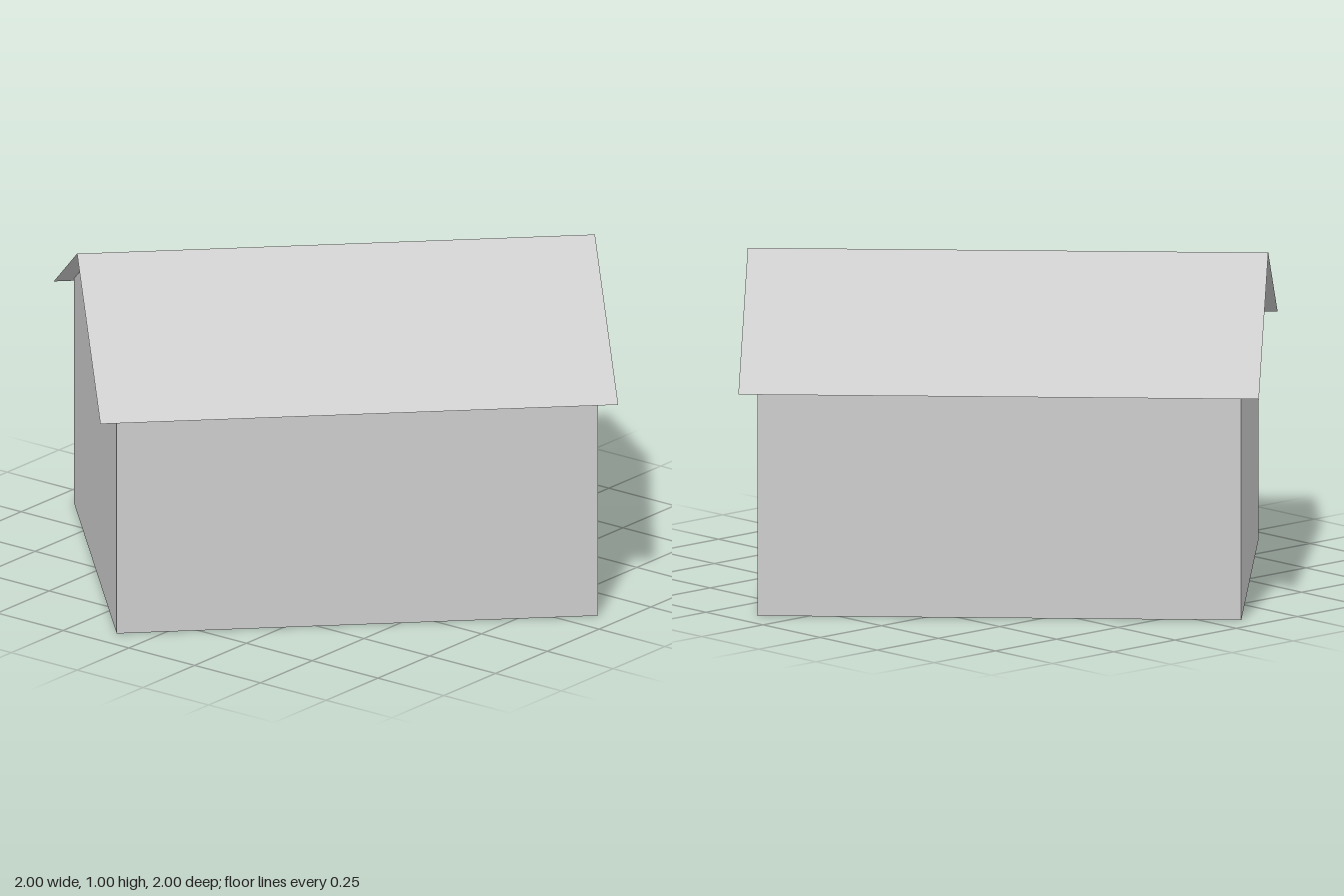
import * as THREE from 'three';

export function createModel() {
  const house = new THREE.Group();
  house.name = 'house';
  const grey = new THREE.MeshStandardMaterial({ color: 0xcccccc, side: THREE.DoubleSide });
  grey.name = 'plain grey';
  grey.flatShading = true;

  const ridgeY = 1, eaveY = 0.686;
  const roofL = 0.778, roofW = 0.636;   // half length and half width of the roof
  const wallL = 0.723, wallW = 0.582;   // half length and half width of the walls
  const drop = ridgeY - eaveY;
  const wallY = ridgeY - drop * wallW / roofW; // where the walls meet the slopes

  const add = (name, geometry, x, y, z) => {
    const mesh = new THREE.Mesh(geometry, grey);
    mesh.name = name;
    mesh.position.set(x, y, z);
    house.add(mesh);
  };

  // Gable end outline
  const gable = new THREE.Shape([
    new THREE.Vector2(-wallW, 0),
    new THREE.Vector2(wallW, 0),
    new THREE.Vector2(wallW, wallY),
    new THREE.Vector2(0, ridgeY),
    new THREE.Vector2(-wallW, wallY),
  ]);

  for (const s of [1, -1]) {
    const side = s > 0 ? 'Left' : 'Right';

    // Gable wall at each end
    add('gableWall' + side, new THREE.ShapeGeometry(gable).rotateY(s * Math.PI / 2), s * wallL, 0, 0);

    // Long side wall
    const wall = new THREE.PlaneGeometry(2 * wallL, wallY);
    if (s < 0) wall.rotateY(Math.PI);
    add('sideWall' + side, wall, 0, wallY / 2, s * wallW);

    // Thin roof slope, overhanging on every side
    const slope = new THREE.PlaneGeometry(2 * roofL, Math.hypot(roofW, drop));
    slope.rotateX(-Math.PI / 2 + s * Math.atan2(drop, roofW));
    add('roofSlope' + side, slope, 0, ridgeY - drop / 2, s * roofW / 2);
  }

  // Flat ceiling at wall height; the floor is open
  add('ceiling', new THREE.PlaneGeometry(2 * wallL, 2 * wallW).rotateX(-Math.PI / 2), 0, wallY, 0);

  // The house stands diagonally
  house.rotation.y = THREE.MathUtils.degToRad(44.5);
  const model = new THREE.Group();
  model.name = 'model';
  model.add(house);
  return model;
}
